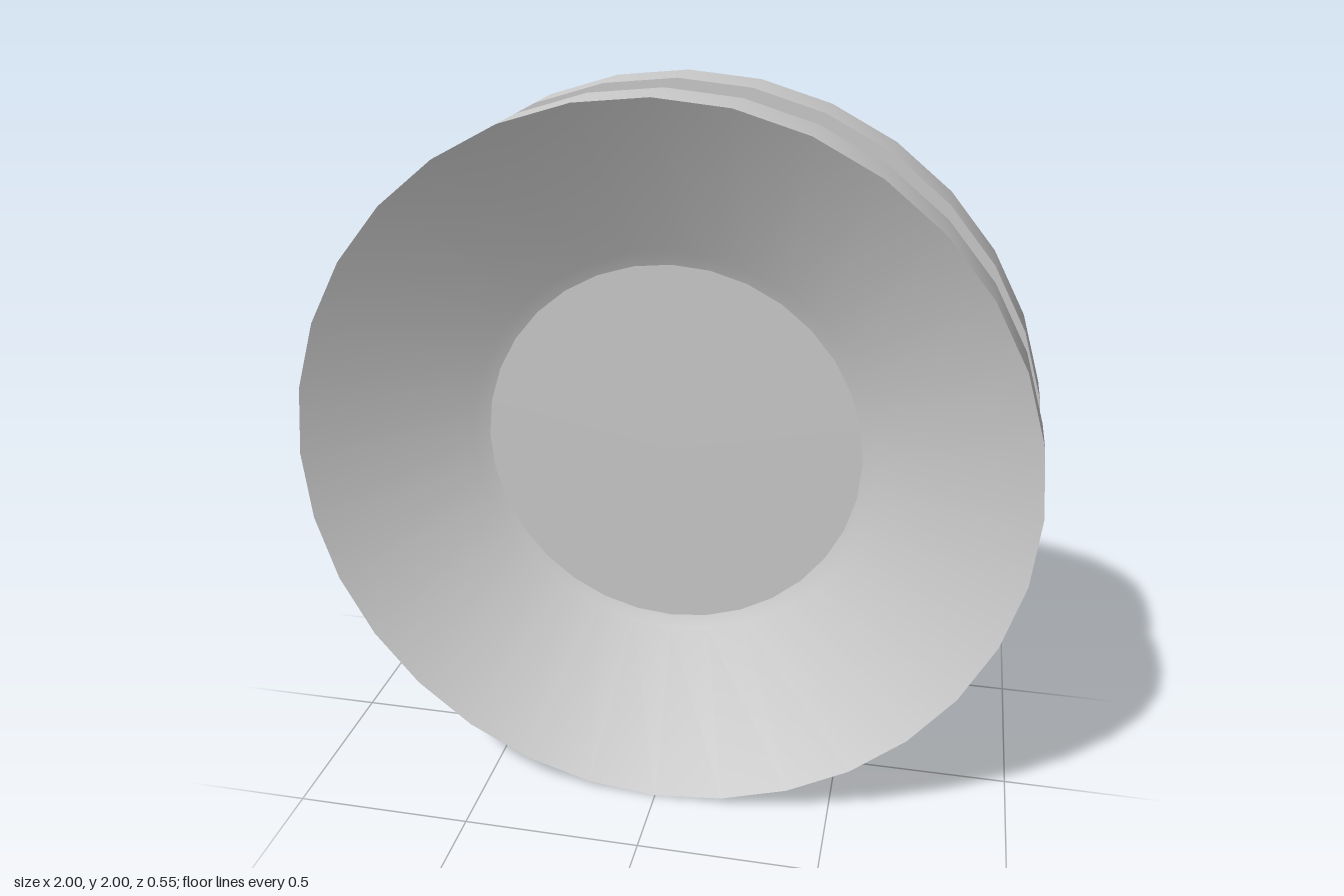
import * as THREE from 'three';
import { toCreasedNormals } from 'three/addons/utils/BufferGeometryUtils.js';

const CENTRE_Y = 1;
const SEGMENTS = 32;
const LOBES = 16;

const material = new THREE.MeshStandardMaterial({ color: 0xcccccc });

// Lathe around the z axis; profile points are [radius, z], from back to front
function latheZ(name, profile) {
  const points = profile.map(([r, z]) => new THREE.Vector2(r, z));
  const geometry = new THREE.LatheGeometry(points, SEGMENTS).rotateX(Math.PI / 2);
  const mesh = new THREE.Mesh(toCreasedNormals(geometry, 0.35), material);
  mesh.name = name;
  return mesh;
}

// Radius factor that follows the flat sides of the 32-sided body
function polygonFactor(angle) {
  const step = (2 * Math.PI) / SEGMENTS;
  const offset = (((angle % step) + step) % step) - step / 2;
  return Math.cos(step / 2) / Math.cos(offset);
}

// Ring of raised grips with shallow valleys, on the back rim
function gripRing() {
  const perLobe = 8;
  const count = LOBES * perLobe;
  const valley = [1, 0.85, 0.3, 0, 0, 0, 0.3, 0.85]; // 1 = valley floor, 0 = crest
  const start = THREE.MathUtils.degToRad(-6);
  const positions = [];
  const index = [];
  for (let i = 0; i < count; i++) {
    const angle = start + (i / count) * 2 * Math.PI;
    const v = valley[i % perLobe];
    const f = polygonFactor(angle);
    const rows = [
      [1, -0.19],
      [0.91 + 0.04 * v, -0.275 + 0.04 * v],
      [0.8 + 0.03 * v, -0.275 + 0.04 * v],
      [0.69 + 0.045 * v, -0.13],
    ];
    for (const [r, z] of rows) {
      positions.push(r * f * Math.cos(angle), r * f * Math.sin(angle), z);
    }
    for (let j = 0; j < 3; j++) {
      const a = i * 4 + j;
      const b = ((i + 1) % count) * 4 + j;
      index.push(a, a + 1, b, b, a + 1, b + 1);
    }
  }
  const geometry = new THREE.BufferGeometry();
  geometry.setAttribute('position', new THREE.Float32BufferAttribute(positions, 3));
  geometry.setIndex(index);
  const mesh = new THREE.Mesh(toCreasedNormals(geometry, 0.3), material);
  mesh.name = 'gripRing';
  return mesh;
}

export function createModel() {
  const group = new THREE.Group();
  group.name = 'dishedDisc';

  // Body: recessed back, grooved side, conical front dish
  const body = latheZ('body', [
    [0.5, -0.13], [0.76, -0.13], [1, -0.19],
    [1, -0.04], [0.94, -0.04],
    [0.94, 0.01], [0.952, 0.015], [0.945, 0.03], [0.945, 0.055], [0.952, 0.07], [0.94, 0.075],
    [0.94, 0.122], [1, 0.122], [1, 0.275],
    [0.57, 0.05], [0.53, 0.035], [0, 0.035],
  ]);

  // Raised plate in the middle of the back
  const plate = latheZ('backPlate', [[0, -0.15], [0.515, -0.15], [0.525, -0.145], [0.525, -0.125]]);

  for (const part of [body, plate, gripRing()]) {
    part.position.y = CENTRE_Y;
    group.add(part);
  }
  return group;
}
